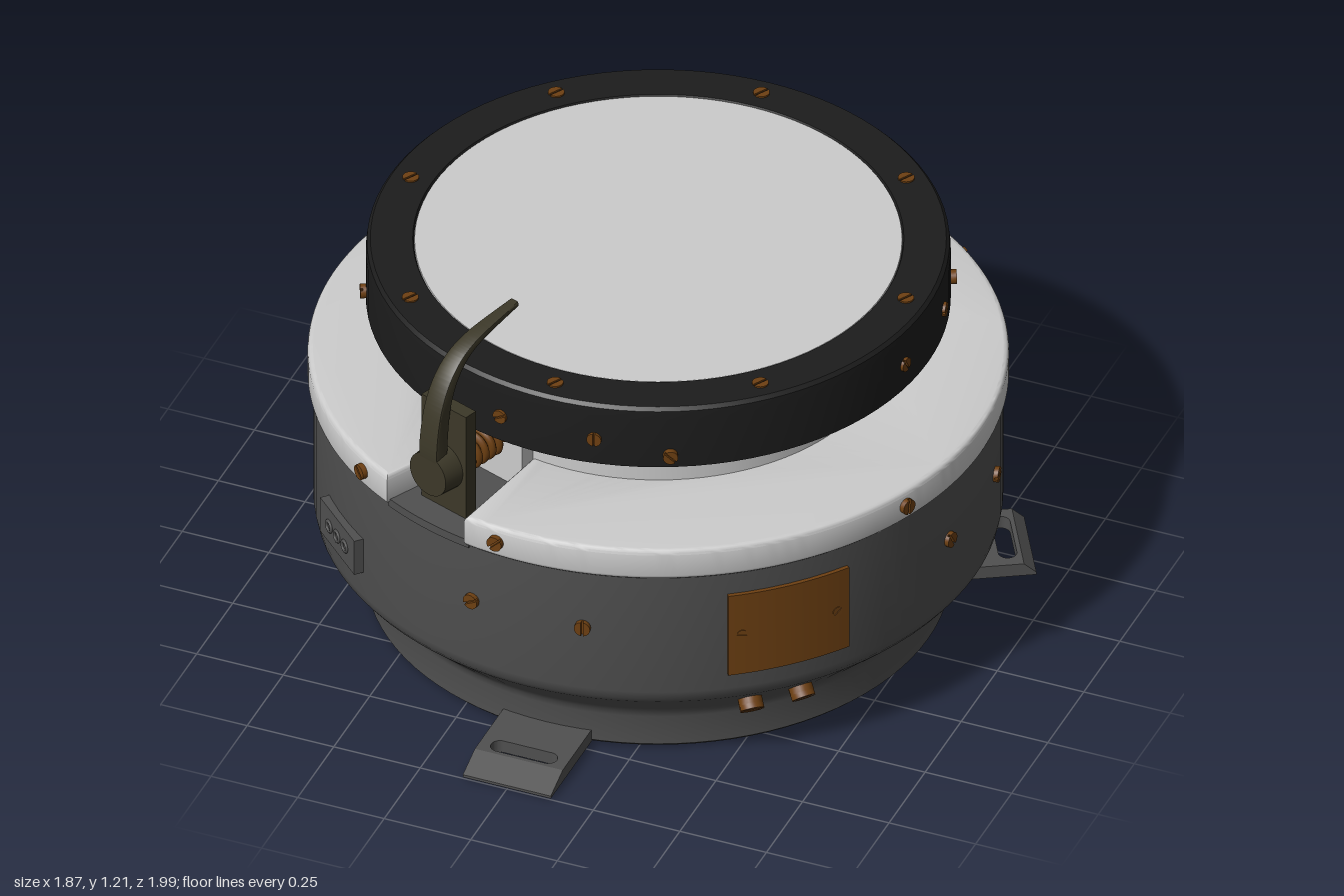
import * as THREE from 'three';
import { toCreasedNormals, mergeGeometries } from 'three/addons/utils/BufferGeometryUtils.js';

const rad = THREE.MathUtils.degToRad;
const paint = (color) => new THREE.MeshStandardMaterial({ color });
const light = paint(0xcccccc), dark = paint(0x505050), black = paint(0x1c1c1c);
const brass = paint(0x6e4012), olive = paint(0x3c3828);

export function createModel() {
  const model = new THREE.Group();
  model.name = 'canister';
  model.position.z = -0.05;
  const root = new THREE.Group();
  root.add(model);

  const add = (name, geo, mat, parent = model) => {
    const m = new THREE.Mesh(geo, mat);
    m.name = name;
    parent.add(m);
    return m;
  };
  // group turned so that its local +z points outward at an angle from the front
  const spoke = (name, deg) => {
    const g = new THREE.Group();
    g.name = name;
    g.rotation.y = rad(deg);
    model.add(g);
    return g;
  };
  const lathe = (name, pts, mat) => add(name, toCreasedNormals(
    new THREE.LatheGeometry(pts.map(p => new THREE.Vector2(...p)), 96), 0.6), mat);
  // ring sector between two angles, radii and heights
  const sector = (name, r0, r1, y0, y1, a0, a1, mat, bevel = 0) => {
    const s = new THREE.Shape();
    s.absarc(0, 0, r1, rad(a0 - 90), rad(a1 - 90), false);
    s.absarc(0, 0, r0, rad(a1 - 90), rad(a0 - 90), true);
    const geo = new THREE.ExtrudeGeometry(s, {
      depth: y1 - y0 - 2 * bevel, curveSegments: 64, bevelEnabled: bevel > 0,
      bevelSize: bevel, bevelThickness: bevel, bevelOffset: -bevel, bevelSegments: 3,
    });
    geo.rotateX(-Math.PI / 2).translate(0, y0 + bevel, 0);
    return add(name, toCreasedNormals(geo, 0.6), mat);
  };

  // turned shell, neck and cap
  lathe('body', [[0, 0], [0.77, 0], [0.78, 0.01], [0.78, 0.1], [0.785, 0.12], [0.8, 0.14],
    [0.9, 0.235], [0.915, 0.255], [0.92, 0.28], [0.92, 0.66], [0, 0.66]], dark);
  lathe('neck', [[0.61, 0.65], [0.61, 0.895], [0.65, 0.9], [0.65, 0.925], [0, 0.925]], light);
  lathe('capRim', [[0, 0.92], [0.78, 0.92], [0.78, 1.075], [0.777, 1.1], [0.768, 1.11],
    [0.655, 1.11], [0.65, 1.1]], black);
  lathe('capDisc', [[0.655, 1.09], [0.65, 1.107], [0, 1.107]], light);
  lathe('bottomPlug', [[0, -0.002], [0.125, -0.002], [0.13, 0.01]], light);

  // shoulder ring in two pieces, leaving a lever pocket and a narrow slit
  sector('shoulderRing', 0.59, 0.935, 0.66, 0.755, -11, 156.9, light, 0.014);
  sector('shoulderRing', 0.59, 0.935, 0.66, 0.755, 158.1, 332, light, 0.014);
  sector('pocketFloor', 0.59, 0.925, 0.65, 0.675, -28.5, -10.5, dark);

  // slotted screw head, unit radius, facing +z
  const half = new THREE.Shape();
  half.absarc(0, 0, 1, Math.asin(0.14), Math.PI - Math.asin(0.14), false);
  const top = new THREE.ExtrudeGeometry(half, { depth: 0.45, bevelEnabled: false, curveSegments: 10 });
  top.translate(0, 0, 0.35);
  const stem = new THREE.CylinderGeometry(1, 1, 1.2, 16).rotateX(Math.PI / 2).translate(0, 0, -0.2);
  const screwGeo = toCreasedNormals(mergeGeometries(
    [top, top.clone().rotateZ(Math.PI), stem.toNonIndexed()]), 0.6);
  const screw = (name, deg, r, y, size, tilt = 0) => {
    const m = add(name, screwGeo, brass, spoke(name + 'Mount', deg));
    m.position.set(0, y, r);
    m.rotation.set(rad(tilt), 0, rad(deg * 3 + 60));
    m.rotation.order = 'XYZ';
    m.scale.setScalar(size);
  };
  for (let i = 0; i < 8; i++) screw('topScrew', i * 45, 0.715, 1.097, 0.022, -90);
  for (let i = 0; i < 4; i++) {
    screw('capSideScrew', 25 + i * 90, 0.78, 0.96, 0.02);
    for (const s of [-10, 10]) {
      screw('capPairScrew', s + i * 90, 0.772, 1.0, 0.02);
      screw('bodyScrew', s + i * 90, 0.915, 0.48, 0.022);
    }
  }
  for (const a of [67.5, 143, 172.7, -112.4, -34.7, -4.9]) screw('ringScrew', a, 0.932, 0.71, 0.022);
  for (const a of [39.4, 49.2, 219.4, 229.2]) screw('drainScrew', a, 0.85, 0.178, 0.033, 45);

  // curved plate with two rivets
  sector('plate', 0.905, 0.931, 0.33, 0.59, 34.2, 55.8, brass);
  for (const a of [36.5, 53.5]) screw('plateRivet', a, 0.922, 0.46, 0.014);

  // socket boxes on opposite sides
  for (const a of [-43, 137]) {
    const g = spoke('socketBox', a);
    add('socketHousing', new THREE.BoxGeometry(0.22, 0.11, 0.09), dark, g).position.set(0, 0.41, 0.895);
    for (const x of [-0.05, 0, 0.05])
      add('socket', new THREE.TorusGeometry(0.015, 0.005, 8, 16), dark, g).position.set(x, 0.41, 0.941);
  }

  // slotted feet with a sloping toe
  for (const [a, outer] of [[0, 1.05], [120, 1.0], [-120, 1.0]]) {
    const g = spoke('foot', a);
    const w = 0.127, toeStart = 0.967;
    const s = new THREE.Shape();
    s.moveTo(-w, 0.72).lineTo(w, 0.72).lineTo(w, toeStart).lineTo(-w, toeStart).closePath();
    const slot = new THREE.Path();
    slot.absarc(0.07, 0.93, 0.025, -Math.PI / 2, Math.PI / 2, false);
    slot.absarc(-0.07, 0.93, 0.025, Math.PI / 2, Math.PI * 1.5, false);
    s.holes.push(slot);
    const flat = new THREE.ExtrudeGeometry(s, { depth: 0.038, bevelEnabled: false });
    add('footPlate', flat.rotateX(Math.PI / 2).translate(0, 0.04, 0), dark, g);
    const toe = new THREE.Shape();
    toe.moveTo(-toeStart, 0.002).lineTo(-toeStart, 0.04).lineTo(-outer, 0.01).lineTo(-outer, 0.002).closePath();
    const toeGeo = new THREE.ExtrudeGeometry(toe, { depth: 2 * w, bevelEnabled: false });
    add('footToe', toeGeo.rotateY(Math.PI / 2).translate(-w, 0, 0), dark, g);
  }

  // lever assembly in the pocket
  const lever = spoke('leverAssembly', -20);
  add('plungerHousing', new THREE.BoxGeometry(0.2, 0.23, 0.2), light, lever).position.set(0, 0.785, 0.545);
  add('leverPlate', new THREE.BoxGeometry(0.16, 0.345, 0.04), olive, lever).position.set(0, 0.835, 0.825);
  const rod = add('plungerRod', new THREE.CylinderGeometry(0.025, 0.025, 0.22, 16), brass, lever);
  rod.rotation.x = Math.PI / 2;
  rod.position.set(0, 0.81, 0.73);
  const coil = [];
  for (let i = 0; i <= 96; i++) {
    const t = i / 96, a = t * Math.PI * 12;
    coil.push(new THREE.Vector3(0.042 * Math.cos(a), 0.81 + 0.042 * Math.sin(a), 0.645 + 0.16 * t));
  }
  add('spring', new THREE.TubeGeometry(new THREE.CatmullRomCurve3(coil), 240, 0.011, 8), brass, lever);
  const knob = add('leverPivot', new THREE.CylinderGeometry(0.065, 0.07, 0.065, 32), olive, lever);
  knob.rotation.x = Math.PI / 2;
  knob.position.set(0, 0.815, 0.875);

  // curved blade, narrowing towards its tip
  const v = (r, y) => new THREE.Vector2(-r, y);
  const blade = new THREE.Shape();
  blade.moveTo(-0.9, 0.8);
  blade.splineThru([v(0.908, 0.9), v(0.885, 1.03), v(0.83, 1.125), v(0.74, 1.178), v(0.565, 1.207)]);
  blade.lineTo(-0.562, 1.193);
  blade.splineThru([v(0.73, 1.158), v(0.805, 1.105), v(0.845, 1.02), v(0.86, 0.9), v(0.86, 0.8)]);
  blade.closePath();
  const bladeGeo = new THREE.ExtrudeGeometry(blade, {
    depth: 0.05, curveSegments: 30, bevelEnabled: true,
    bevelSize: 0.005, bevelThickness: 0.005, bevelOffset: -0.005, bevelSegments: 2,
  });
  bladeGeo.rotateY(Math.PI / 2).translate(-0.025, 0, 0);
  const p = bladeGeo.attributes.position;
  for (let i = 0; i < p.count; i++)
    p.setX(i, p.getX(i) * THREE.MathUtils.mapLinear(p.getZ(i), 0.56, 0.91, 0.45, 1.1));
  add('leverBlade', toCreasedNormals(bladeGeo, 0.7), olive, lever);

  return root;
}
